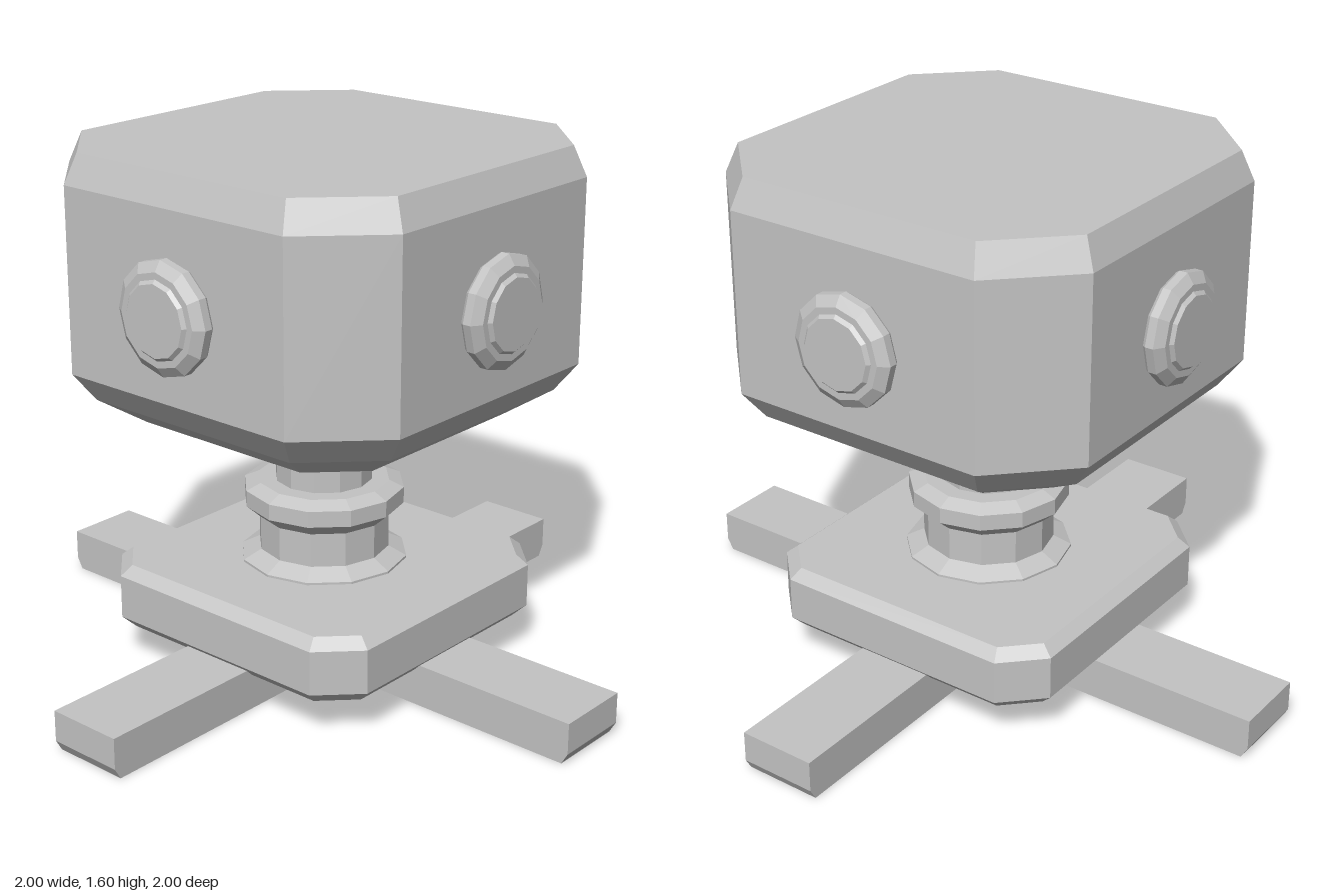
import * as THREE from 'three';

const grey = new THREE.MeshStandardMaterial({ color: 0xc4c4c4 });
grey.name = 'plain grey';

// Gives every facet its own flat normal
function faceted(geometry) {
  const flat = geometry.index ? geometry.toNonIndexed() : geometry;
  flat.computeVertexNormals();
  return flat;
}

function part(name, geometry) {
  const mesh = new THREE.Mesh(faceted(geometry), grey);
  mesh.name = name;
  return mesh;
}

// Block with cut corners, lofted through levels of [y, half width, half length of flat side]
function cutCornerBlock(levels) {
  const positions = [];
  const index = [];
  for (const [y, h, f] of levels) {
    const ring = [[-f, h], [f, h], [h, f], [h, -f], [f, -h], [-f, -h], [-h, -f], [-h, f]];
    for (const [x, z] of ring) positions.push(x, y, z);
  }
  for (let l = 0; l < levels.length - 1; l++) {
    for (let i = 0; i < 8; i++) {
      const a = l * 8 + i;
      const b = l * 8 + (i + 1) % 8;
      index.push(a, b, b + 8, a, b + 8, a + 8);
    }
  }
  const top = (levels.length - 1) * 8;
  for (let i = 1; i < 7; i++) {
    index.push(0, i + 1, i);
    index.push(top, top + i, top + i + 1);
  }
  const geometry = new THREE.BufferGeometry();
  geometry.setAttribute('position', new THREE.Float32BufferAttribute(positions, 3));
  geometry.setIndex(index);
  return geometry;
}

// Twelve-sided turned part from [radius, y] points, bottom to top
function turned(profile) {
  return new THREE.LatheGeometry(profile.map(([r, y]) => new THREE.Vector2(r, y)), 12);
}

// Foot beam along x with bevelled lower ends
function beam() {
  const shape = new THREE.Shape();
  shape.moveTo(-0.98, 0);
  shape.lineTo(0.98, 0);
  shape.lineTo(1, 0.035);
  shape.lineTo(1, 0.13);
  shape.lineTo(-1, 0.13);
  shape.lineTo(-1, 0.035);
  shape.closePath();
  return new THREE.ExtrudeGeometry(shape, { depth: 0.24, bevelEnabled: false }).translate(0, 0, -0.12);
}

export function createModel() {
  const model = new THREE.Group();
  model.name = 'pedestalBlock';

  // Crossed feet
  model.add(part('footBeamX', beam()));
  model.add(part('footBeamZ', beam().rotateY(Math.PI / 2)));

  // Base slab
  model.add(part('baseSlab', cutCornerBlock([
    [0.11, 0.455, 0.36], [0.15, 0.495, 0.38], [0.285, 0.495, 0.38], [0.315, 0.46, 0.365],
  ])));

  // Column with foot flare, collar and top flare
  model.add(part('column', turned([
    [0.255, 0.31], [0.255, 0.322], [0.2, 0.35], [0.2, 0.45], [0.2, 0.455],
    [0.245, 0.495], [0.245, 0.545], [0.2, 0.565], [0.148, 0.565],
    [0.148, 0.75], [0.175, 0.785],
  ])));

  // Head
  model.add(part('head', cutCornerBlock([
    [0.785, 0.44, 0.3], [0.87, 0.565, 0.375], [0.955, 0.625, 0.41],
    [1.51, 0.625, 0.41], [1.6, 0.59, 0.39],
  ])));

  // Round knob on each side of the head
  const names = ['frontKnob', 'leftKnob', 'backKnob', 'rightKnob'];
  names.forEach((name, i) => {
    const knob = turned([
      [0.155, 0.62], [0.165, 0.635], [0.165, 0.66], [0.135, 0.68],
      [0.115, 0.68], [0.105, 0.69], [0, 0.69],
    ]);
    knob.rotateX(Math.PI / 2).rotateY(i * Math.PI / 2).translate(0, 1.215, 0);
    model.add(part(name, knob));
  });

  return model;
}
